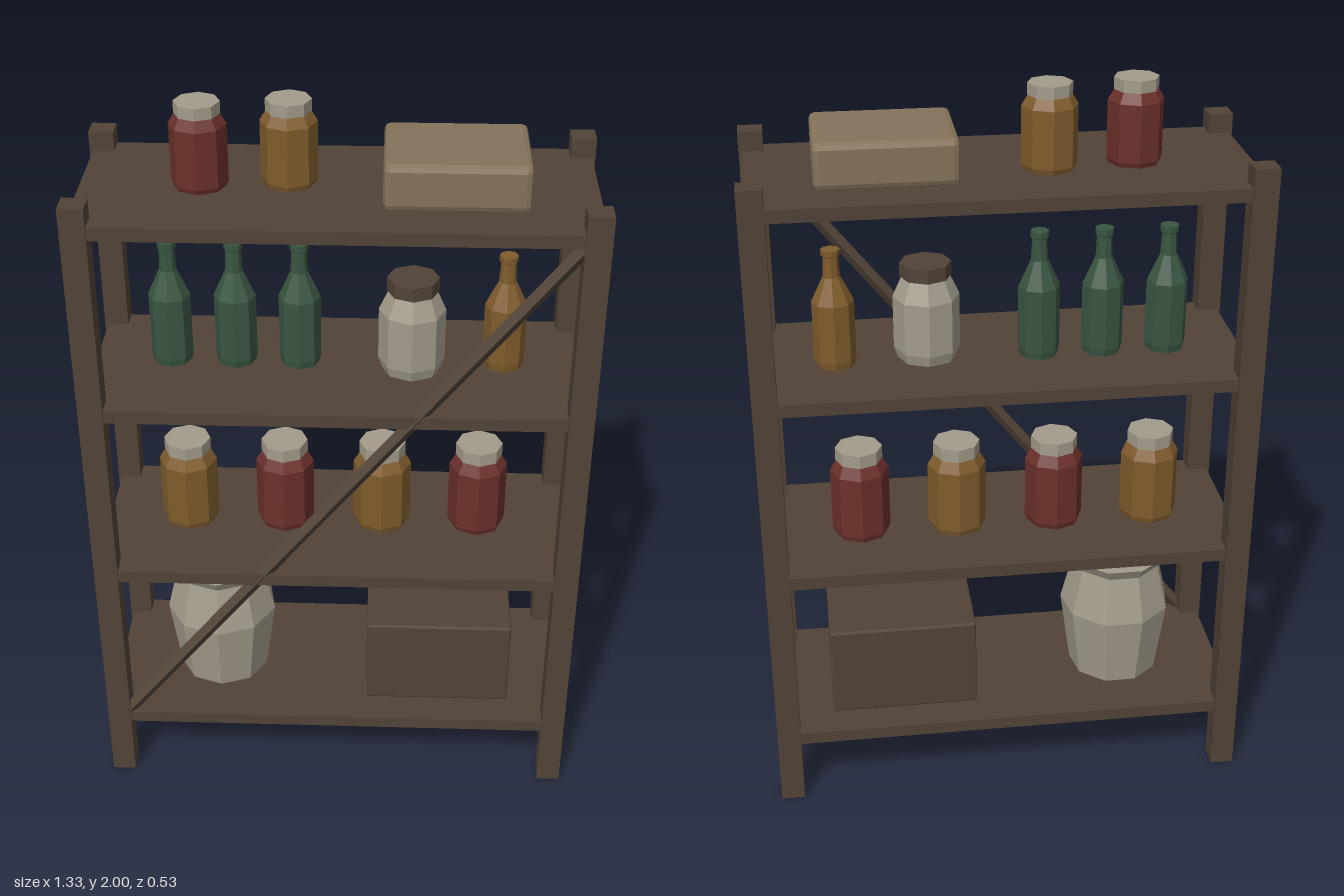
import * as THREE from 'three';
import { RoundedBoxGeometry } from 'three/addons/geometries/RoundedBoxGeometry.js';

const mat = (name, color) => {
  const m = new THREE.MeshStandardMaterial({ color, flatShading: true });
  m.name = name;
  return m;
};

export function createModel() {
  const model = new THREE.Group();
  model.name = 'pantryShelf';

  const wood = mat('darkWood', 0x524337);
  const red = mat('redPreserve', 0x6c302b);
  const amber = mat('amberGlass', 0x7f5c2c);
  const green = mat('greenGlass', 0x395541);
  const pale = mat('paleStoneware', 0xa39c8b);
  const tan = mat('tanBox', 0x85735a);

  const add = (parent, name, geometry, material, x = 0, y = 0, z = 0) => {
    const mesh = new THREE.Mesh(geometry, material);
    mesh.name = name;
    mesh.position.set(x, y, z);
    parent.add(mesh);
    return mesh;
  };
  const lathe = (profile, sides = 8) =>
    new THREE.LatheGeometry(profile.map(([r, y]) => new THREE.Vector2(r, y)), sides);
  const vessel = (name, x, y, z) => {
    const g = new THREE.Group();
    g.name = name;
    g.position.set(x, y, z);
    model.add(g);
    return g;
  };

  // Corner posts
  for (const sx of [-1, 1]) for (const sz of [-1, 1]) {
    add(model, 'post', new THREE.BoxGeometry(0.065, 1.83, 0.065), wood, sx * 0.631, 0.915, sz * 0.234);
  }

  // Shelf boards, given by their top heights
  const tops = [0.22, 0.737, 1.257, 1.778];
  for (const y of tops) {
    add(model, 'shelfBoard', new THREE.BoxGeometry(1.31, 0.035, 0.52), wood, 0, y - 0.0175, 0);
  }

  // Diagonal brace across the front
  const from = new THREE.Vector3(-0.62, 0.2, 0.245);
  const to = new THREE.Vector3(0.62, 1.76, 0.245);
  const dir = to.clone().sub(from);
  const brace = add(model, 'diagonalBrace', new THREE.CylinderGeometry(0.019, 0.019, dir.length(), 4), wood);
  brace.position.copy(from).add(to).multiplyScalar(0.5);
  brace.quaternion.setFromUnitVectors(new THREE.Vector3(0, 1, 0), dir.normalize());

  // Preserve jars with flat lids
  const jar = (x, y, z, r, h, material) => {
    const g = vessel('preserveJar', x, y, z);
    add(g, 'jarBody', lathe([
      [0, 0], [r * 0.93, 0], [r, h * 0.06], [r, h * 0.74], [r * 0.76, h * 0.87], [0, h * 0.87],
    ]), material);
    add(g, 'jarLid', new THREE.CylinderGeometry(r * 0.8, r * 0.8, h * 0.14, 8), pale, 0, h * 0.93, 0);
  };
  [-0.425, -0.152, 0.122, 0.392].forEach((x, i) =>
    jar(x, tops[1], -0.02, 0.081, 0.264, i % 2 ? red : amber));
  jar(-0.35, tops[3], -0.003, 0.073, 0.222, red);
  jar(-0.125, tops[3], -0.028, 0.073, 0.222, amber);

  // Bottles with narrow necks
  const bottle = (x, h, material) => add(model, 'bottle', lathe([
    [0, 0], [0.052, 0], [0.056, 0.02], [0.056, h * 0.56], [0.023, h * 0.77],
    [0.02, h * 0.94], [0.025, h * 0.95], [0.025, h], [0, h],
  ]), material, x, tops[2], -0.024);
  for (const x of [-0.45, -0.276, -0.104]) bottle(x, 0.35, green);
  bottle(0.442, 0.325, amber);

  // Stoneware crock with a dark lid
  const crock = vessel('crock', 0.195, tops[2], 0);
  add(crock, 'crockBody', lathe([
    [0, 0], [0.08, 0], [0.089, 0.03], [0.089, 0.175], [0.062, 0.235], [0, 0.235],
  ]), pale);
  add(crock, 'crockLid', new THREE.CylinderGeometry(0.069, 0.069, 0.038, 8), wood, 0, 0.25, 0);

  // Large storage pot with a flared rim
  add(model, 'storagePot', lathe([
    [0, 0], [0.13, 0], [0.16, 0.215], [0.127, 0.352], [0.146, 0.385], [0, 0.385],
  ], 9), pale, -0.345, tops[0], 0);

  // Wooden crate and chamfered box
  add(model, 'crate', new RoundedBoxGeometry(0.414, 0.27, 0.34, 1, 0.006), wood, 0.294, tops[0] + 0.135, 0);
  add(model, 'topBox', new RoundedBoxGeometry(0.364, 0.12, 0.292, 1, 0.016), tan, 0.295, tops[3] + 0.06, -0.001);

  return model;
}
